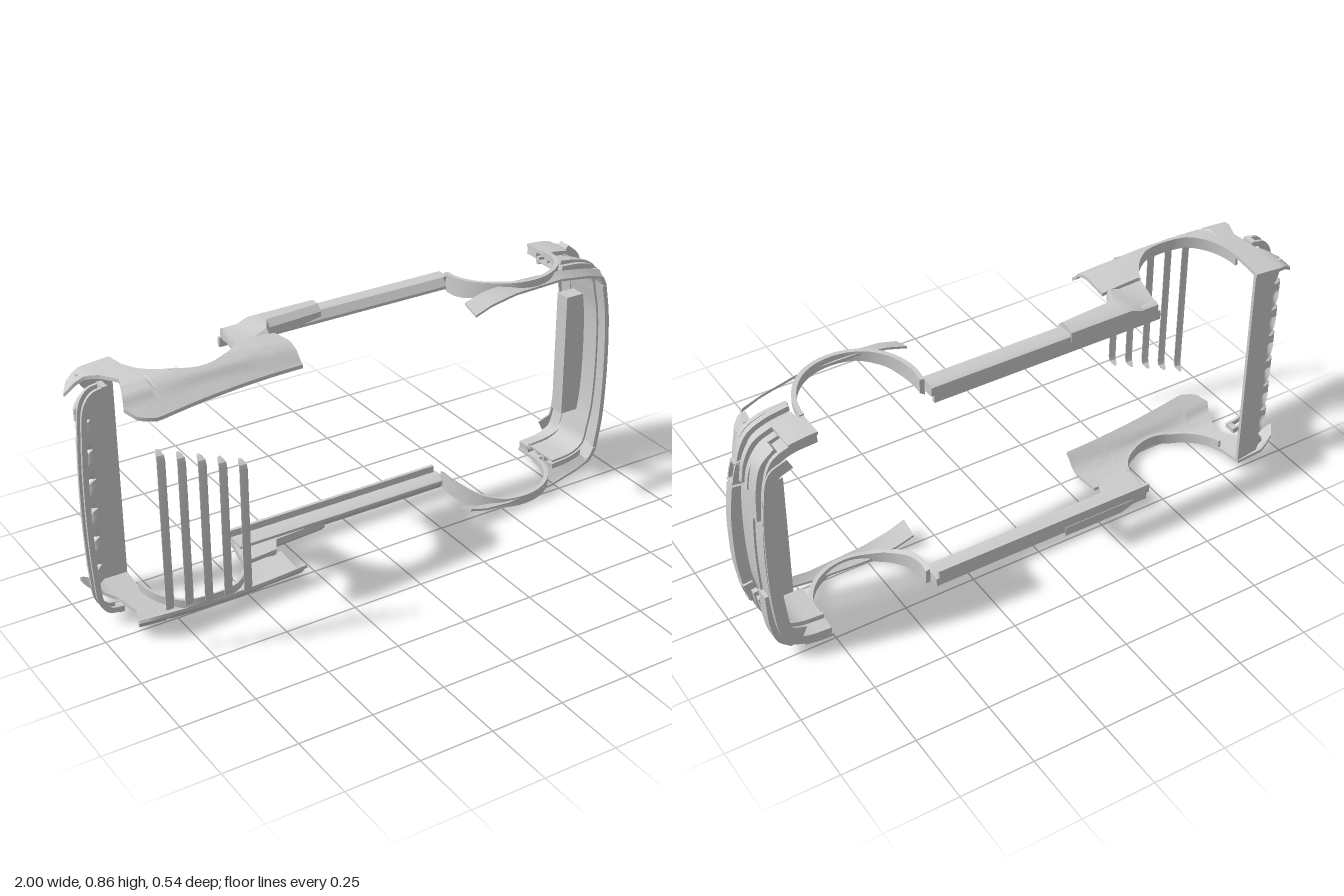
import * as THREE from 'three';
import { toCreasedNormals } from 'three/addons/utils/BufferGeometryUtils.js';

const MID = 0.43; // the kit is mirrored about y = MID; w below is the distance from it
const mat = new THREE.MeshStandardMaterial({ color: 0xcccccc, side: THREE.DoubleSide });

// piecewise-linear lookup in [[key, value], ...] with rising keys
function table(rows, k) {
  if (k <= rows[0][0]) return rows[0][1];
  for (let i = 1; i < rows.length; i++) {
    const [a, va] = rows[i - 1], [b, vb] = rows[i];
    if (k <= b) return va + (vb - va) * (k - a) / (b - a);
  }
  return rows[rows.length - 1][1];
}
const range = (n, f) => Array.from({ length: n + 1 }, (_, i) => f(i / n));

// closed loops of [x, w, z] joined into a capped solid, wound outwards
function loft(sections, side = 1) {
  const n = sections[0].length, pos = [], tri = [];
  sections.forEach(s => s.forEach(([x, w, z]) => pos.push(x, MID + side * w, z)));
  for (let i = 0; i < sections.length - 1; i++) {
    for (let j = 0; j < n; j++) {
      const a = i * n + j, b = i * n + (j + 1) % n;
      tri.push(a, b, b + n, a, b + n, a + n);
    }
  }
  const e = (sections.length - 1) * n;
  // caps run as a strip between the two long sides of the loop
  for (let j = 0; j < n / 2 - 1; j++) {
    const k = n - 1 - j;
    tri.push(j, k, j + 1, e + j, e + j + 1, e + k);
    if (k - 1 > j + 1) tri.push(j + 1, k, k - 1, e + j + 1, e + k - 1, e + k);
  }
  const v = i => new THREE.Vector3().fromArray(pos, tri[i] * 3);
  let volume = 0;
  for (let i = 0; i < tri.length; i += 3) volume += v(i).dot(v(i + 1).cross(v(i + 2)));
  if (volume < 0) tri.reverse();
  const g = new THREE.BufferGeometry();
  g.setAttribute('position', new THREE.Float32BufferAttribute(pos, 3));
  g.setIndex(tri);
  return toCreasedNormals(g, 0.6);
}

// upright strip following a plan curve of [x, w] points, running from +w to -w
function strip(points, z0, z1, t, steps = 40) {
  const c = new THREE.CatmullRomCurve3(points.map(([x, w]) => new THREE.Vector3(x, w, 0)));
  return range(steps, u => {
    const p = c.getPoint(u), d = c.getTangent(u), s = Math.sign(p.x);
    const ix = p.x + d.y * t * s, iw = p.y - d.x * t * s;
    return [[p.x, p.y, z0], [p.x, p.y, z1], [ix, iw, z1], [ix, iw, z0]];
  });
}
const bothWays = half => [...half, ...half.slice(0, -1).reverse().map(([x, w]) => [x, -w])];

// arched band about a wheel centre
function archBand(cx, cz, r0, r1, a0, a1, inner, outer) {
  return range(32, u => {
    const a = a0 + (a1 - a0) * u, c = Math.cos(a), s = Math.sin(a);
    const p = (r, w) => [cx + r * c, w(cx + r * c, cz + r * s), cz + r * s];
    return [p(r0, inner), p(r0, outer), p(r1, outer), p(r1, inner)];
  });
}

// outer skin of the rear quarter
const SKIN = [[-0.27, 0.395], [-0.2, 0.405], [-0.1, 0.42], [-0.02, 0.43], [0.02, 0.415], [0.04, 0.39], [0.095, 0.35]];
const skin = (x, z) => table(SKIN, z) - 0.015 * ((x + 0.6) / 0.3) ** 2 - (x < -0.9 ? 8 * (x + 0.9) ** 2 : 0);

export function createModel() {
  const root = new THREE.Group();
  const add = (name, sections, side = 1) => {
    const m = new THREE.Mesh(loft(sections, side), mat);
    m.name = name;
    root.add(m);
  };
  const pair = (name, sections) => {
    add(name + 'Upper', sections, 1);
    add(name + 'Lower', sections, -1);
  };
  const slab = (x0, x1, w0, w1, z0, z1) => [x0, x1].map(x => [[x, w0, z0], [x, w1, z0], [x, w1, z1], [x, w0, z1]]);

  // rear wide fender ahead of the post
  const T = 0.012;
  pair('rearFender', range(36, u => {
    const x = -0.8 + 0.49 * u, d = Math.abs(x + 0.62);
    const arch = -0.18 + Math.sqrt(Math.max(0, 0.18 ** 2 - d * d));
    const lo = x > -0.62 ? Math.max(-0.115, arch) : arch;
    const hi = 0.09 - 0.035 * u;
    const out = range(10, v => { const z = lo + (hi - lo) * v; return [x, skin(x, z), z]; });
    return [...out, ...out.map(([a, w, z]) => [a, w - T, z]).reverse()];
  }));
  // post between the rear arch and the tail, with the bumper corner at its foot
  const POST = [[-0.27, -0.9], [-0.25, -0.955], [-0.215, -0.98], [-0.19, -0.92], [-0.15, -0.885], [-0.07, -0.86], [0, -0.885], [0.04, -0.9], [0.075, -0.87], [0.09, -0.82]];
  pair('rearPost', range(36, u => {
    const z = -0.27 + 0.36 * u, x0 = table(POST, z);
    const out = range(8, v => { const x = x0 + (-0.8 - x0) * v; return [x, skin(x, z), z]; });
    return [...out, ...out.map(([a, w, h]) => [a, w - T, h]).reverse()];
  }));
  pair('rearArchLip', archBand(-0.62, -0.18, 0.178, 0.188, 0.35, Math.PI - 0.1,
    (x, z) => skin(x, z) - 0.04, (x, z) => skin(x, z)));

  // side skirt: bevelled outer rail, inner floor flange and thicker rear cover
  pair('sideSkirt', [-0.43, 0.37, 0.385].map((x, i) => {
    const top = i === 2 ? -0.2 : -0.172;
    return [[x, 0.365, -0.248], [x, 0.395, -0.248], [x, 0.402, -0.235], [x, 0.4, -0.19],
      [x, 0.375, top], [x, 0.365, top], [x, 0.362, top - 0.01], [x, 0.362, -0.235]];
  }));
  pair('skirtFlange', slab(-0.44, 0.375, 0.338, 0.37, -0.248, -0.236));
  const COVER = [[-0.45, -0.15, -0.1], [-0.43, -0.23, -0.1], [-0.37, -0.25, -0.105], [-0.33, -0.25, -0.11], [-0.3, -0.25, -0.163], [-0.2, -0.25, -0.17], [-0.105, -0.25, -0.178]];
  pair('skirtRearCover', COVER.map(([x, lo, hi]) => {
    const o = x < -0.34 ? 0.405 : 0.42;
    return [[x, 0.375, lo], [x, o - 0.01, lo], [x, o, lo + 0.02], [x, o, hi - 0.02], [x, o - 0.02, hi], [x, 0.375, hi]];
  }));

  // front arch flare, deepening towards the skirt, and the blade above it
  pair('frontArchFlare', archBand(0.58, -0.17, 0.183, 0.198, -0.02, Math.PI + 0.2,
    x => table([[0.38, 0.345], [0.43, 0.375], [0.5, 0.39]], x),
    (x, z) => 0.423 - 0.09 * Math.max(0, -0.02 - z)));
  pair('fenderBlade', [[0.335, -0.014, 0.05, 0.385], [0.4, -0.014, 0.046, 0.405], [0.5, -0.01, 0.039, 0.418], [0.7, -0.004, 0.021, 0.414], [0.82, -0.01, 0.01, 0.392], [0.885, -0.014, 0.002, 0.372]]
    .map(([x, lo, hi, w]) => [[x, w - 0.008, lo], [x, w, lo], [x, w - 0.02, hi], [x, w - 0.028, hi]]));

  // front bumper: plan curve reused at several depths
  const nose = (dx, dw = 0) => bothWays([[0.77, 0.405 - dw], [0.86, 0.395 - dw], [0.925 + dx * 0.6, 0.365 - dw], [0.957 + dx, 0.3 - dw], [0.972 + dx, 0.18], [0.98 + dx, 0]]);
  add('frontLip', strip(nose(-0.015, 0.008), -0.262, -0.212, 0.03));
  add('splitterPlate', strip(bothWays([[0.87, 0.35], [0.93, 0.32], [0.955, 0.2], [0.962, 0]]), -0.268, -0.262, 0.04));
  add('bumperInnerWall', strip(nose(-0.035, 0.04), -0.205, -0.07, 0.008));
  add('bumperUpperRail', strip(nose(-0.012, 0.015), -0.082, -0.068, 0.02));
  add('bumperLowerRail', strip(nose(-0.008, 0.03), -0.212, -0.198, 0.025));
  // corner slats wrapping back to the wheel arch, tucked in further down
  for (const z of [-0.18, -0.145, -0.108]) {
    const tuck = -0.25 * (z + 0.09);
    pair('cornerSlat', strip([[0.78, 0.405], [0.86, 0.39], [0.918, 0.36], [0.95, 0.3], [0.964, 0.22]].map(([x, w]) => [x, w - tuck * (w - 0.2) * 5]), z, z + 0.018, 0.018, 16));
  }
  pair('cornerPanel', strip([[0.765, 0.404], [0.81, 0.401], [0.86, 0.393]], -0.262, -0.16, 0.012, 6));
  pair('lipSidePlate', strip([[0.9, 0.388], [0.945, 0.345], [0.965, 0.27], [0.972, 0.15]], -0.25, -0.205, 0.02, 14));

  // nose plate with a small framed vent at each end
  add('nosePlate', strip(bothWays([[0.985, 0.192], [0.997, 0.1], [1, 0]]), -0.12, -0.085, 0.03, 16));
  const ventPath = [[0.965, 0.27], [0.976, 0.235], [0.982, 0.2]];
  for (const z of [-0.12, -0.09]) pair('ventRail', strip(ventPath, z, z + 0.006, 0.03, 4));
  pair('ventOuterEnd', slab(0.94, 0.968, 0.263, 0.27, -0.115, -0.085));
  pair('ventInnerEnd', slab(0.95, 0.984, 0.2, 0.207, -0.12, -0.085));

  // central intake duct behind the bumper
  add('ductBack', slab(0.855, 0.862, -0.225, 0.225, -0.195, -0.14));
  for (const z of [-0.195, -0.146]) add('ductFloor', slab(0.855, 0.94, -0.225, 0.225, z, z + 0.006));
  pair('ductSide', slab(0.855, 0.94, 0.219, 0.225, -0.195, -0.14));

  // upper grille: long bars between two end plates
  for (let i = 0; i < 4; i++) {
    const z = -0.016 - 0.015 * i, d = 0.005 * i;
    add('grilleBar', strip(bothWays([[0.912 + d, 0.313], [0.93 + d, 0.2], [0.938 + d, 0]]), z, z + 0.011, 0.016, 20));
  }
  pair('grilleEnd', [[0.313, -0.066, -0.004], [0.345, -0.066, -0.004], [0.358, -0.058, -0.014]].map(([w, lo, hi]) => {
    const x = 0.925 - (w - 0.313) * 0.5;
    return [[x - 0.02, w, lo], [x, w, lo], [x - 0.012, w, hi], [x - 0.028, w, hi]];
  }));

  // rear diffuser: floor plate whose tail rises into six blunt scoops
  add('rearDiffuser', range(152, u => {
    const w = -0.38 + 0.76 * u, inside = Math.abs(w) < 0.312;
    const s = inside ? Math.min(1, 1.7 * Math.sin(Math.PI * w / 0.104) ** 2) : 0.45 * (Math.abs(w) - 0.312) / 0.068;
    const tail = 0.07 * Math.sqrt(s);
    const top = range(8, v => {
      const rise = Math.max(0, v * 2 - 1);
      const x = -0.8 - 0.085 * Math.min(1, v * 2) - tail * rise;
      return [x, w, -0.255 + 0.015 * v + 0.045 * s * Math.sin(rise * Math.PI * 0.6)];
    });
    return [...top, ...top.map(([x, y, z]) => [x, y, z - 0.012]).reverse()];
  }));

  // slim tail frame: two rails round the back, closed at both ends
  const tail = bothWays([[-0.895, 0.395], [-0.945, 0.385], [-0.975, 0.345], [-0.987, 0.25], [-0.995, 0]]);
  for (const z of [-0.122, -0.09]) add('tailRail', strip(tail, z, z + 0.01, 0.018));
  pair('tailEnd', slab(-0.912, -0.893, 0.378, 0.396, -0.122, -0.08));

  // five thin rear window louvres, sloped with the roof, their ends drooping to a point
  for (let i = 0; i < 5; i++) {
    const x = -0.637 - 0.054 * i, z = 0.268 - 0.0243 * i, w = 0.229 + 0.0123 * i;
    const half = [[w, -0.022, 0.004], [w - 0.006, -0.014, 0.009], [w - 0.013, -0.004, 0.012], [w - 0.03, 0, 0.013]];
    const path = [...half, ...half.slice().reverse().map(([y, d, h]) => [-y, d, h])];
    add('windowLouvre', path.map(([y, d, h]) => [[x - h, y, z + d - 0.005], [x + h, y, z + d - 0.003], [x + h, y, z + d], [x - h, y, z + d - 0.002]]));
  }
  return root;
}
